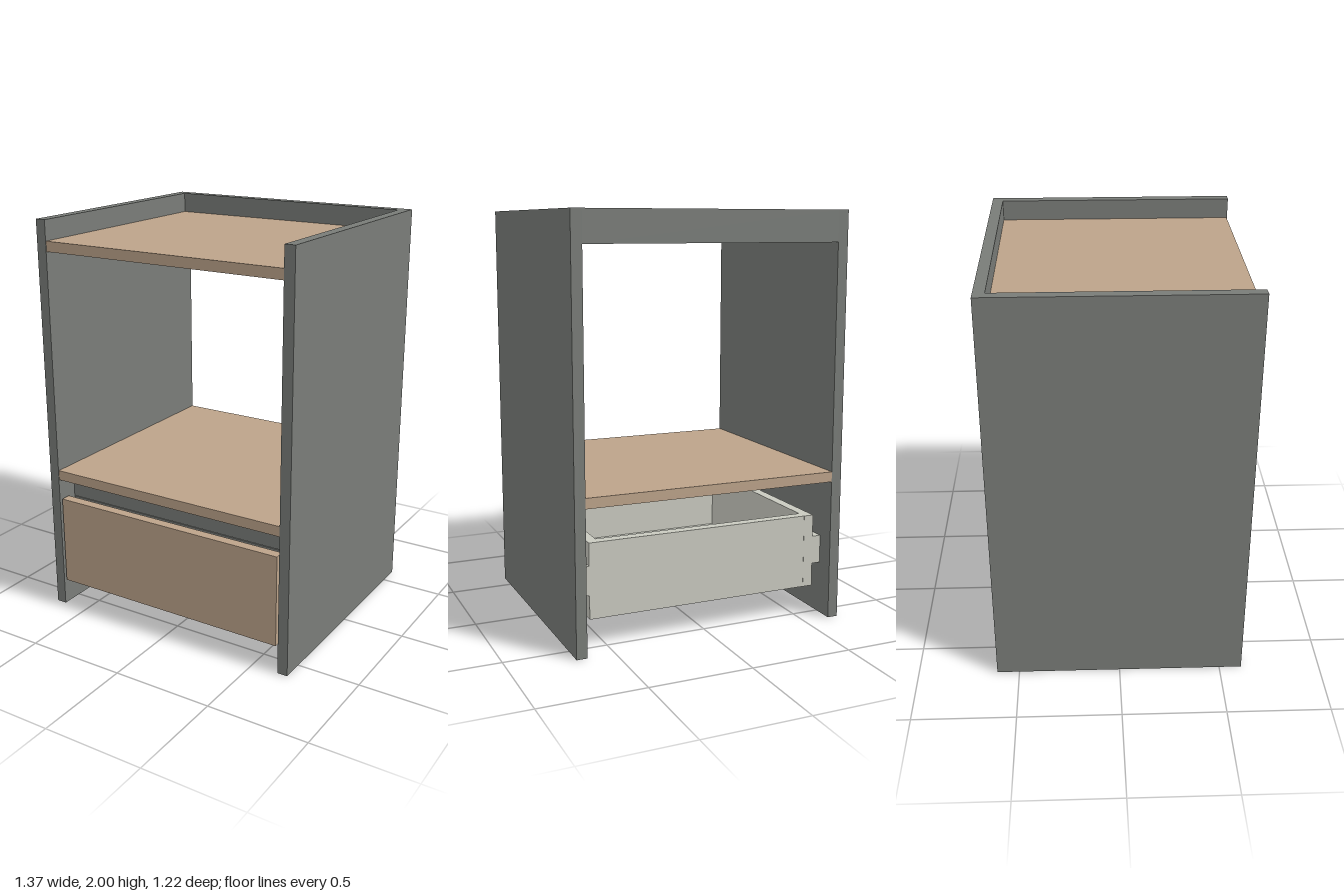
import * as THREE from 'three';

const material = (name, color) => {
  const m = new THREE.MeshStandardMaterial({ color });
  m.name = name;
  return m;
};

export function createModel() {
  const grey = material('grey board', 0x797c78);
  const wood = material('warm wood', 0xbca38a);
  const pale = material('pale drawer', 0xc9cac0);
  const model = new THREE.Group();
  model.name = 'nightstand';

  // Box given by its extents along each axis
  const board = (parent, name, mat, [x0, x1], [y0, y1], [z0, z1]) => {
    const mesh = new THREE.Mesh(new THREE.BoxGeometry(x1 - x0, y1 - y0, z1 - z0), mat);
    mesh.position.set((x0 + x1) / 2, (y0 + y1) / 2, (z0 + z1) / 2);
    mesh.name = name;
    parent.add(mesh);
  };
  // The same board on both sides
  const pair = (parent, name, mat, [x0, x1], y, z) => {
    board(parent, name + 'Left', mat, [x0, x1], y, z);
    board(parent, name + 'Right', mat, [-x1, -x0], y, z);
  };

  const inner = [-0.635, 0.635];

  // Carcass
  pair(model, 'sidePanel', grey, [0.635, 0.687], [0, 2], [-0.61, 0.61]);
  board(model, 'topShelf', wood, inner, [1.85, 1.9], [-0.557, 0.607]);
  board(model, 'backRail', grey, inner, [1.85, 2], [-0.61, -0.557]);
  board(model, 'middleShelf', wood, inner, [0.695, 0.745], [-0.61, 0.607]);
  board(model, 'upperFrontRail', grey, inner, [0.57, 0.695], [0.443, 0.495]);
  board(model, 'lowerFrontRail', grey, inner, [0.513, 0.567], [0.443, 0.495]);

  // Drawer
  const drawer = new THREE.Group();
  drawer.name = 'drawer';
  model.add(drawer);
  board(drawer, 'drawerFront', wood, [-0.622, 0.622], [0.137, 0.593], [0.557, 0.607]);
  pair(drawer, 'drawerSide', pale, [0.54, 0.59], [0.145, 0.51], [-0.52, 0.557]);
  board(drawer, 'drawerBack', pale, [-0.54, 0.54], [0.145, 0.51], [-0.519, -0.469]);
  board(drawer, 'drawerInnerFront', pale, [-0.54, 0.54], [0.145, 0.51], [0.507, 0.557]);
  board(drawer, 'drawerBottom', pale, [-0.54, 0.54], [0.15, 0.2], [-0.469, 0.507]);
  pair(drawer, 'drawerSlide', pale, [0.59, 0.634], [0.26, 0.4], [-0.52, 0.55]);

  return model;
}
